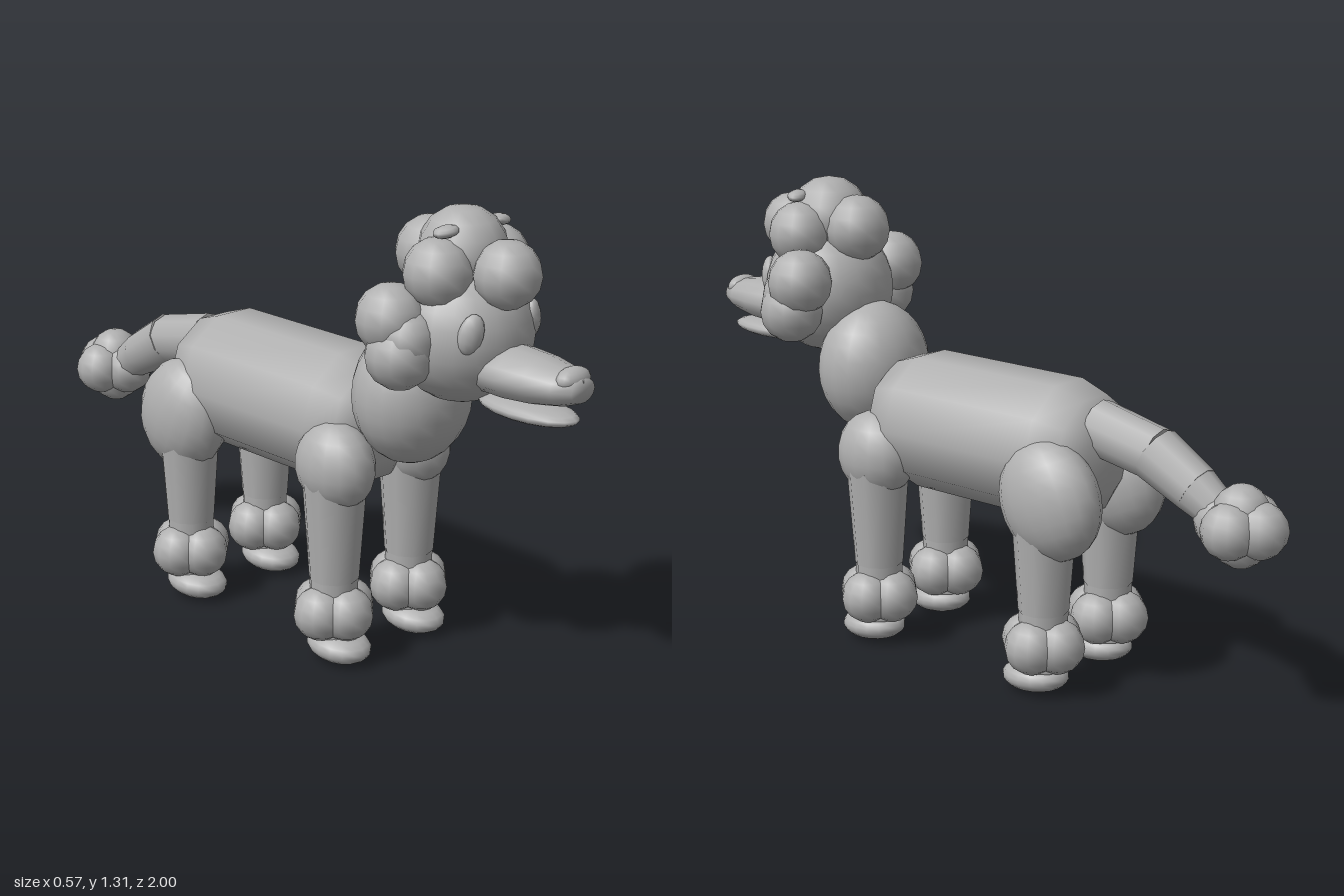
import * as THREE from 'three';

export function createModel() {
  const model = new THREE.Group();
  const grey = new THREE.MeshStandardMaterial({ color: 0xb0b0b0 });
  grey.name = 'grey coat';

  function add(name, geometry, parent = model) {
    const mesh = new THREE.Mesh(geometry, grey);
    mesh.name = name;
    parent.add(mesh);
    return mesh;
  }
  function ellipsoid(name, pos, radii, parent = model, segs = 16) {
    const mesh = add(name, new THREE.SphereGeometry(1, segs, Math.round(segs * 0.7)), parent);
    mesh.position.set(...pos);
    mesh.scale.set(...radii);
    return mesh;
  }
  const curl = (name, x, y, z, r, parent) => ellipsoid(name, [x, y, z], [r, r, r], parent, 12);

  // Round shape turned about the z axis from [radius, z] points, front to back
  function turned(name, points, y, squash, sides) {
    const pts = points.map(([r, z]) => new THREE.Vector2(r, z));
    const geo = new THREE.LatheGeometry(pts.reverse(), sides, Math.PI / 2);
    geo.rotateX(Math.PI / 2);
    geo.scale(1, squash, 1);
    const mesh = add(name, geo);
    mesh.position.y = y;
    return mesh;
  }
  // Tapered round segment between two points
  function limb(name, a, b, ra, rb, parent = model) {
    const from = new THREE.Vector3(...a), to = new THREE.Vector3(...b);
    const dir = to.clone().sub(from);
    const mesh = add(name, new THREE.CylinderGeometry(rb, ra, dir.length(), 10), parent);
    mesh.position.copy(from).add(to).multiplyScalar(0.5);
    mesh.quaternion.setFromUnitVectors(new THREE.Vector3(0, 1, 0), dir.normalize());
    return mesh;
  }

  // Body and neck
  turned('body', [[0, 0.35], [0.1, 0.335], [0.17, 0.29], [0.2, 0.2],
    [0.2, -0.3], [0.17, -0.39], [0.1, -0.437], [0, -0.45]], 0.66, 1, 10);
  ellipsoid('neck', [0, 0.78, 0.42], [0.173, 0.193, 0.154], model, 20);

  // Head, muzzle and jaw
  ellipsoid('head', [0, 0.995, 0.595], [0.19, 0.19, 0.187], model, 20);
  turned('muzzle', [[0, 1.0], [0.045, 0.998], [0.07, 0.95], [0.09, 0.87],
    [0.098, 0.79], [0.095, 0.7], [0, 0.62]], 0.922, 0.7, 14);
  ellipsoid('nose', [0, 0.946, 0.965], [0.056, 0.032, 0.034]);
  ellipsoid('lowerJaw', [0, 0.835, 0.825], [0.076, 0.028, 0.157]);

  // Curls on the crown
  const crown = new THREE.Group();
  crown.name = 'topKnot';
  model.add(crown);
  curl('crownCurl', 0, 1.2, 0.59, 0.121, crown);
  curl('foreheadCurl', 0, 1.167, 0.742, 0.09, crown);
  curl('napeCurl', 0, 1.18, 0.48, 0.097, crown);

  for (const s of [1, -1]) {
    const side = s > 0 ? 'left' : 'right';
    curl(side + 'CrownCurl', s * 0.108, 1.165, 0.605, 0.092, crown);
    const tuft = ellipsoid(side + 'Tuft', [s * 0.1, 1.272, 0.622], [0.036, 0.016, 0.028], crown, 10);
    tuft.rotation.set(0, s * 0.4, s * -0.15);

    const eye = ellipsoid(side + 'Eye', [s * 0.115, 1.03, 0.728], [0.034, 0.054, 0.024], model, 12);
    eye.rotation.set(0, s * 0.6, s * 0.25);

    // Ear made of overlapping curls
    const ear = new THREE.Group();
    ear.name = side + 'Ear';
    model.add(ear);
    curl('upperEarCurl', s * 0.193, 1.045, 0.525, 0.094, ear);
    curl('lowerEarCurl', s * 0.195, 0.958, 0.56, 0.092, ear);
    curl('frontEarCurl', s * 0.185, 1.0, 0.575, 0.08, ear);

    // Legs: haunch, tapered leg, cuff of four curls, paw
    for (const [end, z, pawZ] of [['Front', 0.275, 0.297], ['Back', -0.335, -0.31]]) {
      const leg = new THREE.Group();
      leg.name = side + end + 'Leg';
      leg.position.x = s * 0.147;
      model.add(leg);
      if (end === 'Front') {
        ellipsoid('shoulder', [0, 0.572, 0.278], [0.096, 0.125, 0.125], leg);
      } else {
        const thigh = ellipsoid('thigh', [0, 0.562, -0.355], [0.104, 0.17, 0.155], leg, 18);
        thigh.rotation.x = 0.4;
      }
      limb('leg', [0, 0.245, z], [0, 0.53, z], 0.07, 0.09, leg);
      limb('ankle', [0, 0.08, z], [0, 0.25, z], 0.066, 0.068, leg);
      for (let i = 0; i < 4; i++) {
        const a = i * Math.PI / 2;
        curl('cuffCurl', 0.05 * Math.cos(a), 0.15, z + 0.05 * Math.sin(a), 0.076, leg);
      }
      const paw = ellipsoid('paw', [0, 0.05, pawZ], [0.08, 0.044, 0.1], leg);
      paw.rotation.x = 0.06;
    }
  }

  // Tail segments and pompom
  limb('tailBase', [0, 0.745, -0.4], [0, 0.703, -0.6], 0.078, 0.074);
  limb('tailMiddle', [0, 0.707, -0.59], [0, 0.632, -0.725], 0.077, 0.067);
  limb('tailEnd', [0, 0.634, -0.72], [0, 0.57, -0.82], 0.067, 0.05);
  const pom = new THREE.Group();
  pom.name = 'tailPompom';
  pom.position.set(0, 0.562, -0.865);
  model.add(pom);
  for (const s of [1, -1]) {
    curl('sideCurl', s * 0.057, 0, 0, 0.076, pom);
    curl('endCurl', 0, 0, s * 0.058, 0.076, pom);
    curl('upDownCurl', 0, s * 0.036, 0, 0.077, pom);
  }
  return model;
}
